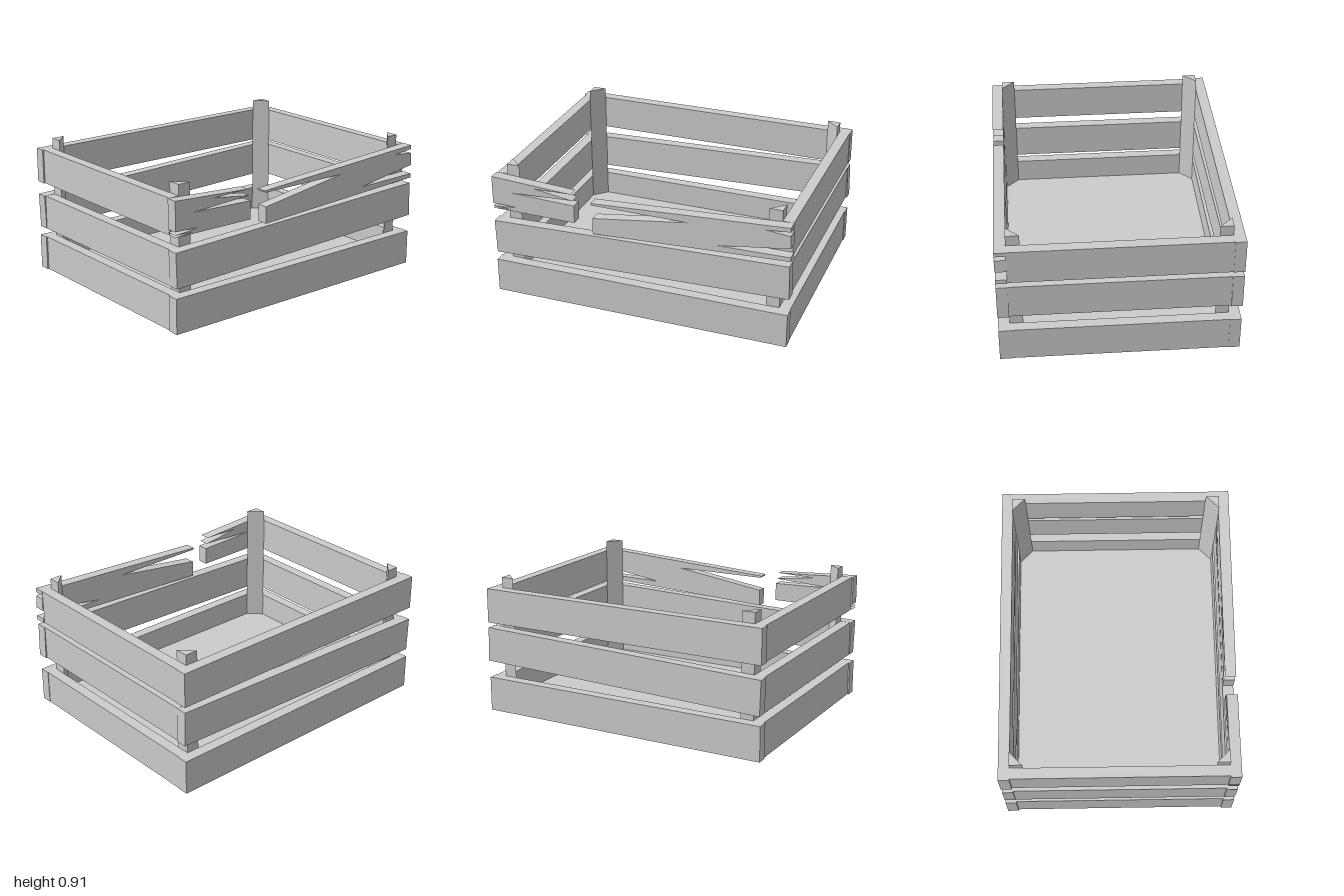
import * as THREE from 'three';

const material = new THREE.MeshStandardMaterial({ color: 0xcccccc, flatShading: true });
const X_IN = 0.693, X_OUT = 0.765, T = X_OUT - X_IN; // side planks
const Z_IN = 0.92, Z_OUT = 0.99;                     // end planks
const H = 0.23;                                      // plank height

export function createModel() {
  const group = new THREE.Group();

  const add = (name, geometry, x = 0, y = 0, z = 0) => {
    const mesh = new THREE.Mesh(geometry, material);
    mesh.name = name;
    mesh.position.set(x, y, z);
    group.add(mesh);
    return mesh;
  };

  const shapeOf = (points) => new THREE.Shape(points.map(([a, b]) => new THREE.Vector2(a, b)));

  // Floor board
  add('floor', new THREE.BoxGeometry(2 * X_IN, 0.065, 2 * Z_IN), 0, 0.0325, 0);

  // End planks; the middle one sits higher at the back
  const endPlank = new THREE.BoxGeometry(2 * X_IN, H, Z_OUT - Z_IN);
  const zMid = (Z_IN + Z_OUT) / 2;
  [['bottom', 0, 0], ['middle', 0.29, 0.345], ['top', 0.61, 0.61]].forEach(([level, front, back]) => {
    add(`${level}FrontPlank`, endPlank, 0, front + H / 2, zMid);
    add(`${level}BackPlank`, endPlank, 0, back + H / 2, -zMid);
  });

  // Long side planks; the middle pair slopes down to the front
  const sidePlank = new THREE.BoxGeometry(T, H, 1.993);
  for (const [side, s] of [['left', 1], ['right', -1]]) {
    const x = s * (X_IN + X_OUT) / 2;
    add(`${side}BottomPlank`, sidePlank, x, H / 2, 0.003);
    add(`${side}MiddlePlank`, sidePlank, x, 0.4325, 0).rotation.x = 0.0275;
    if (s < 0) add(`${side}TopPlank`, sidePlank, x, 0.61 + H / 2, 0.003);
  }

  // Snapped top plank: outlines as [z, y], extruded across x
  const brokenPiece = (name, outline) => {
    const geometry = new THREE.ExtrudeGeometry(shapeOf(outline), { depth: T, bevelEnabled: false });
    geometry.rotateY(-Math.PI / 2);
    add(name, geometry, X_OUT, 0, 0);
  };
  brokenPiece('brokenPlankFront', [
    [1, 0.84], [1, 0.65], [0.83, 0.645], [0.92, 0.635], [1, 0.63], [0.87, 0.625], [1, 0.615],
    [0.425, 0.61], [0.425, 0.73], [0.87, 0.745], [0.435, 0.765], [0.705, 0.803], [0.445, 0.808],
  ]);
  brokenPiece('brokenPlankBack', [
    [0.3, 0.555], [0.3, 0.665], [-0.34, 0.755], [0.305, 0.757], [0.31, 0.77],
    [-0.992, 0.84], [-0.992, 0.812], [-0.835, 0.8], [-0.993, 0.785],
    [-0.997, 0.7], [-0.53, 0.633], [-0.998, 0.64], [-1, 0.612],
  ]);

  // Triangular corner posts
  const P = 0.086, POST_BASE = 0.02, POST_TOP = 0.91;
  for (const [end, sz] of [['front', 1], ['back', -1]]) {
    for (const [side, sx] of [['Left', 1], ['Right', -1]]) {
      const corner = shapeOf([[0, 0], [-sx * P, 0], [0, sz * P]]);
      const geometry = new THREE.ExtrudeGeometry(corner, { depth: POST_TOP - POST_BASE, bevelEnabled: false });
      geometry.rotateX(-Math.PI / 2); // outline y becomes -z
      add(`${end}${side}Post`, geometry, sx * X_IN, POST_BASE, sz * Z_IN);
    }
  }

  return group;
}
